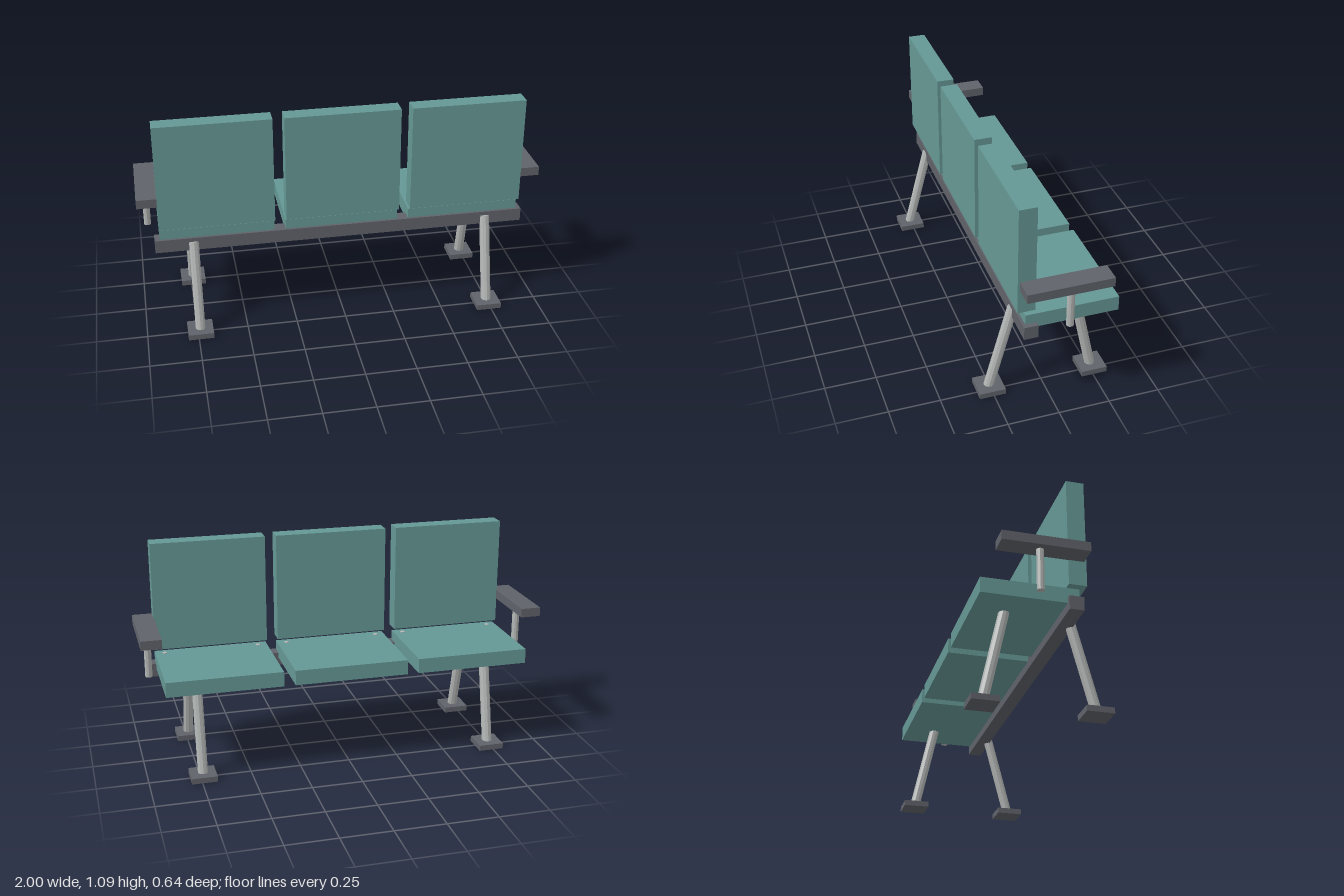
import * as THREE from 'three';

export function createModel() {
  const model = new THREE.Group();
  model.name = 'bench';

  const material = (name, color) => {
    const m = new THREE.MeshStandardMaterial({ color });
    m.name = name;
    return m;
  };
  const teal = material('teal upholstery', 0x659894);
  const dark = material('dark grey frame', 0x5f6269);
  const steel = material('brushed steel', 0xb2b6b4);

  function add(name, geometry, mat) {
    const mesh = new THREE.Mesh(geometry, mat);
    mesh.name = name;
    model.add(mesh);
    return mesh;
  }

  // Box given by its x, y and z ranges
  function box(name, mat, [x0, x1], [y0, y1], [z0, z1]) {
    const mesh = add(name, new THREE.BoxGeometry(x1 - x0, y1 - y0, z1 - z0), mat);
    mesh.position.set((x0 + x1) / 2, (y0 + y1) / 2, (z0 + z1) / 2);
  }

  // Faceted round bar between two points
  function bar(name, mat, from, to, radius, sides = 10) {
    const a = new THREE.Vector3(...from);
    const b = new THREE.Vector3(...to);
    const dir = b.clone().sub(a);
    const geometry = new THREE.CylinderGeometry(radius, radius, dir.length(), sides).toNonIndexed();
    geometry.computeVertexNormals();
    const mesh = add(name, geometry, mat);
    mesh.position.copy(a).add(b).multiplyScalar(0.5);
    mesh.quaternion.setFromUnitVectors(new THREE.Vector3(0, 1, 0), dir.normalize());
  }

  // Long beam carrying the seats
  box('beam', dark, [-0.927, 0.927], [0.415, 0.481], [0.085, 0.153]);

  // Three seats with backrests and their small fixing pins
  for (const x of [-0.62, 0, 0.62]) {
    const width = [x - 0.282, x + 0.282];
    box('seat', teal, width, [0.456, 0.53], [-0.31, 0.14]);
    box('backrest', teal, width, [0.552, 1.092], [0.093, 0.178]);
    for (const side of [-1, 1]) {
      const px = x + side * 0.236;
      bar('fixingPin', steel, [px, 0.46, 0.097], [px, 0.533, 0.097], 0.012, 8);
    }
  }

  for (const side of [-1, 1]) {
    // Armrest and its post
    box('armrest', dark, side < 0 ? [-1, -0.9] : [0.9, 1], [0.674, 0.719], [-0.24, 0.168]);
    bar('armrestPost', steel, [side * 0.953, 0.472, -0.053], [side * 0.953, 0.68, -0.053], 0.018);

    // Splayed legs on square feet
    const x = side * 0.738;
    bar('rearLeg', steel, [x, 0.022, 0.259], [x, 0.458, 0.143], 0.025);
    bar('frontLeg', steel, [x, 0.022, -0.256], [x, 0.462, -0.159], 0.025);
    for (const z of [-0.257, 0.257])
      box('foot', dark, [x - 0.063, x + 0.063], [0, 0.028], [z - 0.064, z + 0.064]);
  }

  return model;
}
